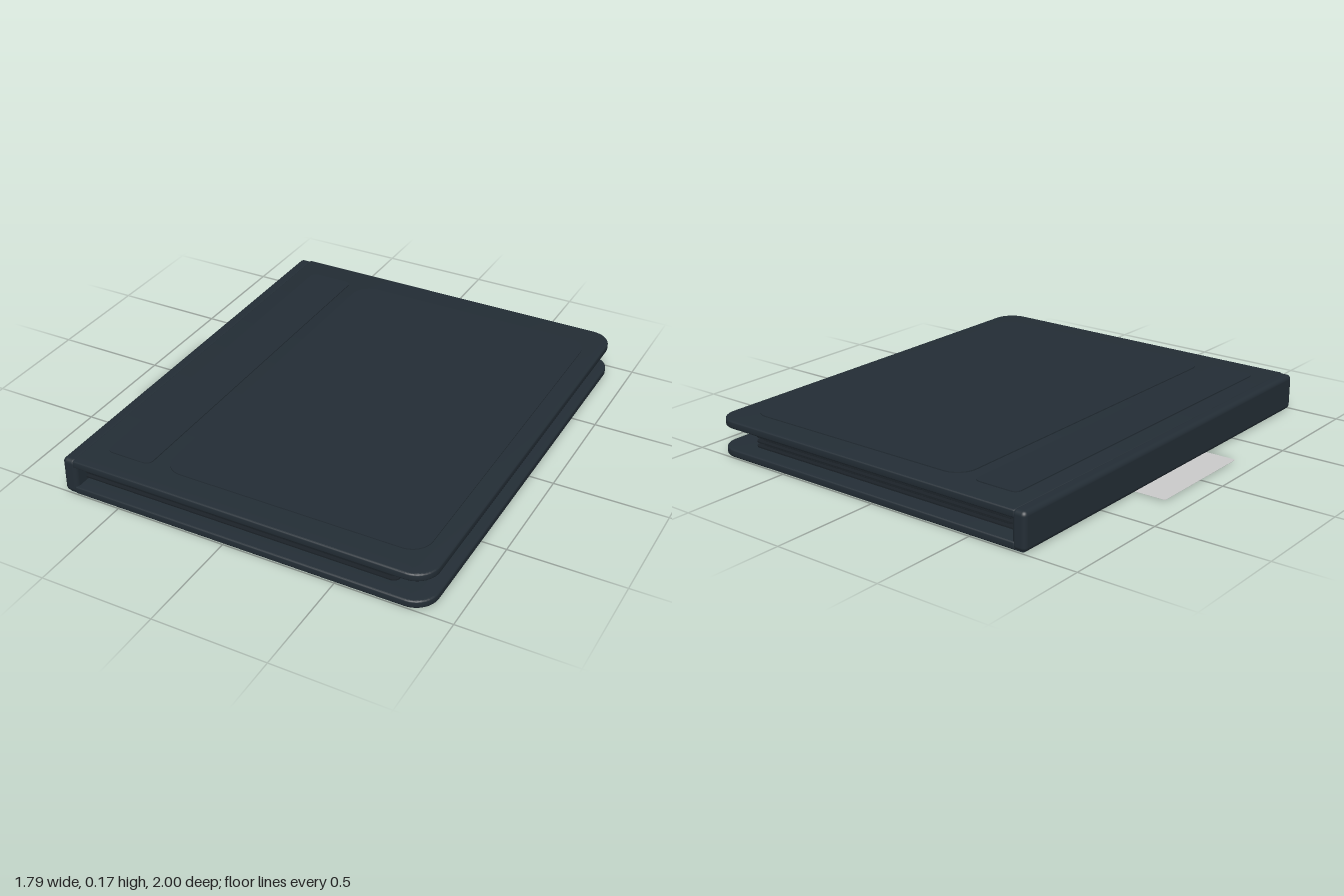
import * as THREE from 'three';
import { RoundedBoxGeometry } from 'three/addons/geometries/RoundedBoxGeometry.js';
import { toCreasedNormals } from 'three/addons/utils/BufferGeometryUtils.js';

// Horizontal slab with its own radius for the left (-x) and right (+x) corners
function slab(x0, x1, halfZ, y0, y1, rLeft, rRight, bevel = 0) {
  const a = x0 + bevel, b = x1 - bevel, h = halfZ - bevel;
  const l = Math.max(rLeft - bevel, 0.001), r = Math.max(rRight - bevel, 0.001);
  const s = new THREE.Shape();
  s.moveTo(a + l, -h);
  s.lineTo(b - r, -h);
  s.absarc(b - r, -h + r, r, -Math.PI / 2, 0, false);
  s.lineTo(b, h - r);
  s.absarc(b - r, h - r, r, 0, Math.PI / 2, false);
  s.lineTo(a + l, h);
  s.absarc(a + l, h - l, l, Math.PI / 2, Math.PI, false);
  s.lineTo(a, -h + l);
  s.absarc(a + l, -h + l, l, Math.PI, Math.PI * 1.5, false);
  const g = new THREE.ExtrudeGeometry(s, {
    depth: y1 - y0 - 2 * bevel, curveSegments: 12,
    bevelEnabled: bevel > 0, bevelSize: bevel, bevelThickness: bevel, bevelSegments: 3,
  });
  g.rotateX(-Math.PI / 2);
  g.translate(0, y0 + bevel, 0);
  return toCreasedNormals(g, 0.6);
}

export function createModel() {
  const model = new THREE.Group();
  model.name = 'ringlessBinder';

  const material = (name, color) => {
    const m = new THREE.MeshStandardMaterial({ color });
    m.name = name;
    return m;
  };
  const cover = material('slate cover', 0x232d35);
  const sheetDark = material('dark sheet', 0x1b2228);
  const paper = material('pale label', 0xc9c9c9);
  paper.side = THREE.DoubleSide;

  const add = (parent, name, geometry, mat) => {
    const mesh = new THREE.Mesh(geometry, mat);
    mesh.name = name;
    parent.add(mesh);
    return mesh;
  };

  // Two boards and the spine that joins them
  add(model, 'bottomCover', slab(-0.715, 0.895, 1, 0.003, 0.037, 0.001, 0.1, 0.007), cover);
  add(model, 'topCover', slab(-0.715, 0.895, 1, 0.131, 0.165, 0.001, 0.1, 0.007), cover);
  add(model, 'spine', new RoundedBoxGeometry(0.065, 0.163, 2, 4, 0.02), cover)
    .position.set(-0.7325, 0.0835, 0);

  // Raised panels on the top board
  add(model, 'coverStrip', slab(-0.63, -0.42, 0.875, 0.16, 0.17, 0.03, 0.03), cover);
  add(model, 'coverPanel', slab(-0.36, 0.81, 0.875, 0.16, 0.17, 0.09, 0.09), cover);

  // Sheets, each with a three by three grid of pockets
  const pages = new THREE.Group();
  pages.name = 'pages';
  model.add(pages);
  for (const y of [0.051, 0.073, 0.095, 0.117]) {
    add(pages, 'sheet', slab(-0.71, 0.735, 0.935, y - 0.003, y + 0.003, 0.001, 0.03), sheetDark);
    for (let i = 0; i < 3; i++) {
      for (let k = -1; k <= 1; k++) {
        add(pages, 'pocket', new THREE.BoxGeometry(0.435, 0.012, 0.6), sheetDark)
          .position.set(-0.4125 + i * 0.446, y, k * 0.614);
      }
    }
  }

  // Loose label sticking out from beneath the spine
  const label = slab(-0.9, -0.5, 0.273, 0, 0.001, 0.012, 0.012);
  label.translate(0, 0.0045, 0);
  add(model, 'label', label, paper);

  // Foot film that brings the base to the ground
  add(model, 'baseFilm', slab(-0.75, 0.885, 0.99, 0, 0.004, 0.01, 0.09), cover);
  return model;
}
